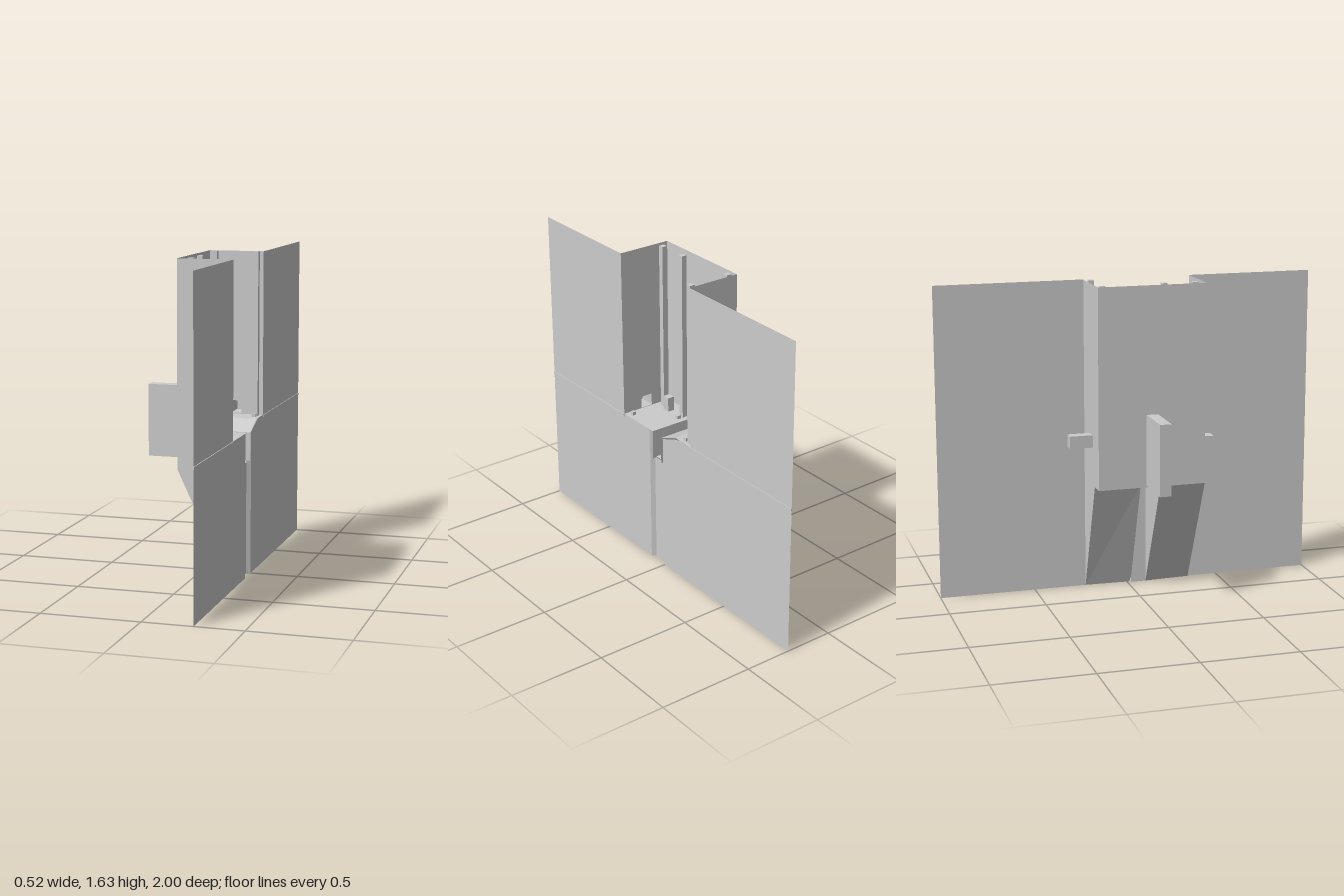
import * as THREE from 'three';

const mat = new THREE.MeshStandardMaterial({ color: 0xcccccc, side: THREE.DoubleSide, flatShading: true });

// Main dimensions
const WALL = 0.255, BACK = -0.03, TOP = 1.63, BASE = 0.59;
const ZF = 0.34, ZB = -0.225;            // recess ends
const S0 = 0.02, S1 = 0.09;              // slot sides
const LOW = 0.745, HIGH = 0.785;         // the two floor levels

export function createModel() {
  const root = new THREE.Group();

  const add = (name, geo, parent = root) => {
    const m = new THREE.Mesh(geo, mat);
    m.name = name;
    parent.add(m);
    return m;
  };

  // Flat sheet lying across one axis; corners are (z,y), (x,z) or (x,y)
  const place = {
    x: (a, b, d) => [d, b, a],
    y: (a, b, d) => [a, d, b],
    z: (a, b, d) => [a, b, d],
  };
  const sheet = (name, axis, at, pts, holes = [], parent = root) => {
    const v2 = (list) => list.map(([a, b]) => new THREE.Vector2(a, b));
    const shape = new THREE.Shape(v2(pts));
    holes.forEach((h) => shape.holes.push(new THREE.Path(v2(h))));
    const geo = new THREE.ShapeGeometry(shape);
    const p = geo.attributes.position;
    for (let i = 0; i < p.count; i++) p.setXYZ(i, ...place[axis](p.getX(i), p.getY(i), at));
    geo.computeVertexNormals();
    return add(name, geo, parent);
  };
  const rect = (a0, a1, b0, b1) => [[a0, b0], [a1, b0], [a1, b1], [a0, b1]];

  // Sheet through four free corners
  const quad = (name, a, b, c, d) => {
    const geo = new THREE.BufferGeometry();
    geo.setAttribute('position', new THREE.Float32BufferAttribute([...a, ...b, ...c, ...d], 3));
    geo.setIndex([0, 1, 2, 0, 2, 3]);
    geo.computeVertexNormals();
    return add(name, geo);
  };

  // Solid block given by its limits
  const block = (name, x0, x1, y0, y1, z0, z1) => {
    const m = add(name, new THREE.BoxGeometry(x1 - x0, y1 - y0, z1 - z0));
    m.position.set((x0 + x1) / 2, (y0 + y1) / 2, (z0 + z1) / 2);
  };

  // Hollow pocket, open on one named side
  const pocket = (name, open, x0, x1, y0, y1, z0, z1) => {
    const g = new THREE.Group();
    g.name = name;
    root.add(g);
    const sides = {
      xMin: ['x', x0, rect(z0, z1, y0, y1)], xMax: ['x', x1, rect(z0, z1, y0, y1)],
      yMin: ['y', y0, rect(x0, x1, z0, z1)], yMax: ['y', y1, rect(x0, x1, z0, z1)],
      zMin: ['z', z0, rect(x0, x1, y0, y1)], zMax: ['z', z1, rect(x0, x1, y0, y1)],
    };
    for (const [key, [axis, at, pts]] of Object.entries(sides)) {
      if (key !== open) sheet(name + 'Side', axis, at, pts, [], g);
    }
  };

  // Large flat wall, upper and lower halves on both sides of the recess
  sheet('upperWallFront', 'x', WALL, rect(ZF, 1, LOW, TOP));
  sheet('upperWallBack', 'x', WALL, rect(-1, ZB, HIGH, TOP));
  sheet('lowerWallFront', 'x', WALL, rect(0.115, 1, 0, LOW));
  sheet('lowerWallBack', 'x', WALL,
    [[-1, 0], [0.005, 0], [0.005, 0.735], [-0.1, 0.775], [-0.14, HIGH], [-1, HIGH]]);
  block('seamLipFront', WALL, WALL + 0.004, LOW - 0.015, LOW, ZF, 1);
  block('seamLipBack', WALL, WALL + 0.003, HIGH - 0.012, HIGH, -1, ZB);

  // Recess shell with openings for the pockets
  sheet('recessBack', 'x', BACK, rect(ZB, ZF, BASE, TOP), [rect(0.027, 0.087, 0.6, 0.97)]);
  sheet('recessFrontSide', 'z', ZF,
    [[WALL, 0], [WALL, TOP], [BACK, TOP], [BACK, BASE], [0.248, 0]],
    [rect(0.08, 0.145, LOW + 0.002, 0.81)]);
  sheet('recessBackSide', 'z', ZB,
    [[WALL, 0], [WALL, TOP], [BACK, TOP], [BACK, BASE], [0.05, BASE]],
    [rect(0.085, 0.14, 0.79, 0.855)]);
  pocket('tallPocket', 'xMax', -0.263, BACK, 0.6, 0.97, 0.027, 0.087);
  pocket('frontPocket', 'zMin', 0.08, 0.145, LOW + 0.002, 0.81, ZF, 0.425);
  pocket('backPocket', 'zMax', 0.085, 0.14, 0.79, 0.855, -0.345, ZB);

  // Floors and ramp
  sheet('lowFloor', 'y', LOW, rect(BACK, WALL, S1, ZF));
  sheet('highFloor', 'y', HIGH,
    [[BACK, ZB], [WALL, ZB], [WALL, -0.1], [0.05, -0.1], [0.05, S0], [BACK, S0]]);
  quad('ramp', [0.05, HIGH, -0.1], [WALL, HIGH, -0.1], [WALL, 0.735, S0], [0.05, 0.735, S0]);
  sheet('rampSide', 'x', 0.05, [[-0.1, HIGH], [S0, HIGH], [S0, 0.735]]);

  // Slot: side walls, flat bottom and the shallow groove below it
  sheet('slotFrontSide', 'z', S1, rect(BACK, WALL, BASE, LOW));
  sheet('slotBackSide', 'z', S0,
    [[BACK, BASE], [WALL, BASE], [WALL, 0.735], [0.05, 0.735], [0.05, HIGH], [BACK, HIGH]]);
  sheet('slotFloor', 'y', BASE + 0.005, rect(BACK, 0.235, S0, S1));
  sheet('grooveBack', 'x', 0.235, rect(S0, 0.1, 0, BASE));
  quad('grooveFrontSide', [0.235, 0, 0.1], [WALL, 0, 0.115], [WALL, LOW, 0.115], [0.235, LOW, 0.1]);
  quad('grooveBackSide', [0.235, 0, S0], [WALL, 0, 0.005], [WALL, 0.735, 0.005], [0.235, 0.735, S0]);

  // Sloping underside
  quad('frontSlope', [0.235, 0, 0.1], [0.248, 0, ZF], [BACK, BASE, ZF], [BACK, BASE, 0.1]);
  sheet('frontSlopeSide', 'z', 0.1, [[0.235, 0], [0.235, BASE], [BACK, BASE]]);
  quad('backSlope', [WALL, 0, ZB], [WALL - 0.01, 0, S0], [0.05, BASE, S0], [0.05, BASE, ZB]);
  sheet('backSlopeSoffit', 'y', BASE, rect(BACK, 0.05, ZB, 0.1));

  // Tall square posts standing on the floors
  for (const [x, z, y] of [[0.028, 0.135, LOW], [0.028, 0.297, LOW], [0.005, -0.194, HIGH], [0.225, -0.194, HIGH]]) {
    block('post', x - 0.014, x + 0.014, y, TOP, z - 0.014, z + 0.014);
  }

  // Small blocks on the floors
  for (const [x, z, y] of [[0.065, 0.13, LOW], [0.222, 0.305, LOW], [0.227, -0.155, HIGH]]) {
    block('stud', x - 0.01, x + 0.01, y, y + 0.018, z - 0.01, z + 0.01);
  }
  block('frontLug', 0.022, 0.06, LOW, 0.82, 0.222, 0.262);
  block('backLugBase', -0.018, 0.017, HIGH, 0.81, -0.07, -0.035);
  block('backLug', 0.0, 0.025, HIGH, 0.835, -0.03, -0.008);

  return root;
}
